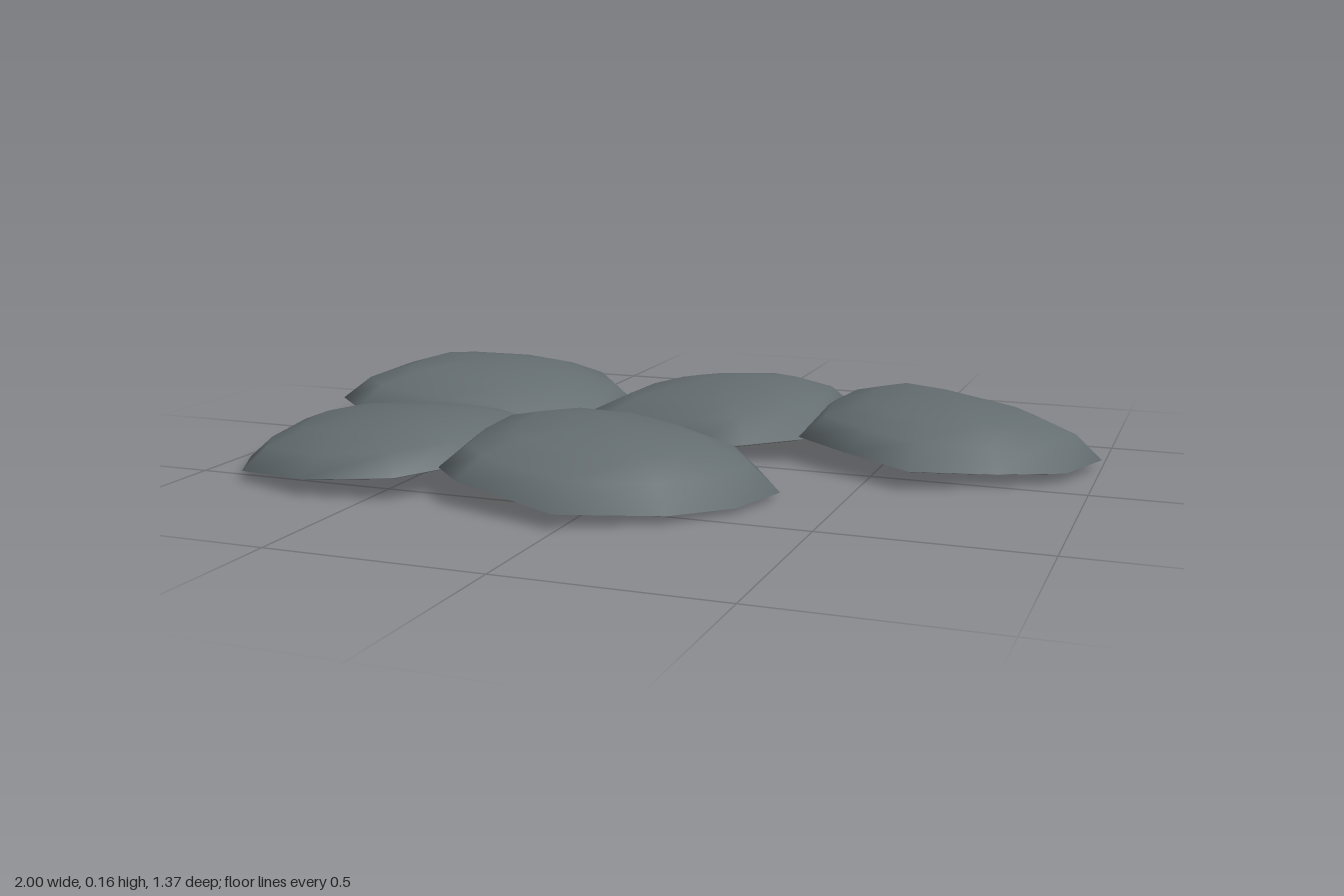
import * as THREE from 'three';

const stoneGrey = new THREE.MeshStandardMaterial({ color: 0x646d70 });
stoneGrey.name = 'stoneGrey';

// Height of the sharp rim above the underside
const RIM = 0.008;
// Shells from the crown down to the rim: [share of radius, share of height above the rim]
const DOME = [[0.3, 0.94], [0.57, 0.81], [0.83, 0.5], [1, 0]];
// Edge of the underside, as a share of radius
const UNDERSIDE = 0.92;

// Thin domed slab lofted from one outline of [x, z] corners, clockwise from above.
// The whole slab leans: leanX and leanZ are its rise per unit along x and z.
function stoneGeometry(outline, { base, thick, leanX, leanZ = 0 }) {
  const n = outline.length;
  const { min, max } = new THREE.Box2().setFromPoints(outline.map(([x, z]) => new THREE.Vector2(x, z)));
  const cx = (min.x + max.x) / 2;
  const cz = (min.y + max.y) / 2;
  const positions = [cx, base + thick, cz];
  const index = [];

  const addRing = (scale, height) => {
    for (const [x, z] of outline) {
      const dx = (x - cx) * scale;
      const dz = (z - cz) * scale;
      positions.push(cx + dx, base + height + leanX * dx + leanZ * dz, cz + dz);
    }
  };
  for (const [scale, rise] of DOME) addRing(scale, RIM + (thick - RIM) * rise);
  addRing(UNDERSIDE, 0);
  positions.push(cx, base, cz);

  const lastRing = 1 + DOME.length * n;
  for (let i = 0; i < n; i++) {
    const j = (i + 1) % n;
    index.push(0, 1 + j, 1 + i); // crown
    for (let a = 1; a < lastRing; a += n) {
      const b = a + n;
      index.push(a + i, a + j, b + j, a + i, b + j, b + i);
    }
    index.push(lastRing + i, lastRing + j, lastRing + n); // underside
  }

  const geometry = new THREE.BufferGeometry();
  geometry.setAttribute('position', new THREE.Float32BufferAttribute(positions, 3));
  geometry.setIndex(index);
  geometry.computeVertexNormals();
  return geometry;
}

export function createModel() {
  const model = new THREE.Group();
  model.name = 'steppingStones';

  const addStone = (name, shape, outline) => {
    const mesh = new THREE.Mesh(stoneGeometry(outline, shape), stoneGrey);
    mesh.name = name;
    model.add(mesh);
  };

  addStone('backRightStone', { base: 0.033, thick: 0.124, leanX: -0.07 }, [
    [-1, -0.4], [-0.99, -0.5], [-0.89, -0.59], [-0.65, -0.69], [-0.4, -0.66], [-0.27, -0.48],
    [-0.25, -0.33], [-0.31, -0.13], [-0.46, -0.03], [-0.66, 0.02], [-0.9, -0.03], [-0.99, -0.11],
  ]);
  addStone('backMiddleStone', { base: 0.028, thick: 0.127, leanX: 0.08 }, [
    [-0.32, -0.38], [-0.24, -0.55], [-0.05, -0.645], [0.2, -0.61], [0.33, -0.51], [0.36, -0.3],
    [0.31, -0.08], [0.18, -0.01], [0.05, 0.035], [-0.26, 0], [-0.34, -0.14],
  ]);
  addStone('backLeftStone', { base: 0.037, thick: 0.116, leanX: -0.06 }, [
    [0.29, -0.5], [0.36, -0.615], [0.55, -0.58], [0.72, -0.49], [0.89, -0.4], [1, -0.27],
    [0.94, -0.09], [0.8, 0.01], [0.61, 0.1], [0.44, 0.01], [0.3, -0.08], [0.27, -0.3],
  ]);
  addStone('frontRightStone', { base: 0.034, thick: 0.1, leanX: 0.075 }, [
    [-1, 0.13], [-0.9, -0.04], [-0.7, -0.05], [-0.53, -0.055], [-0.42, -0.02], [-0.3, 0.07],
    [-0.27, 0.25], [-0.32, 0.45], [-0.43, 0.6], [-0.65, 0.625], [-0.86, 0.55], [-0.94, 0.4],
  ]);
  addStone('frontMiddleStone', { base: 0.038, thick: 0.118, leanX: -0.085, leanZ: -0.03 }, [
    [-0.39, 0.35], [-0.39, 0.19], [-0.28, 0.05], [-0.06, 0], [0.15, 0.06], [0.26, 0.12],
    [0.36, 0.27], [0.31, 0.43], [0.2, 0.56], [-0.01, 0.68], [-0.28, 0.59], [-0.36, 0.52],
  ]);
  return model;
}
